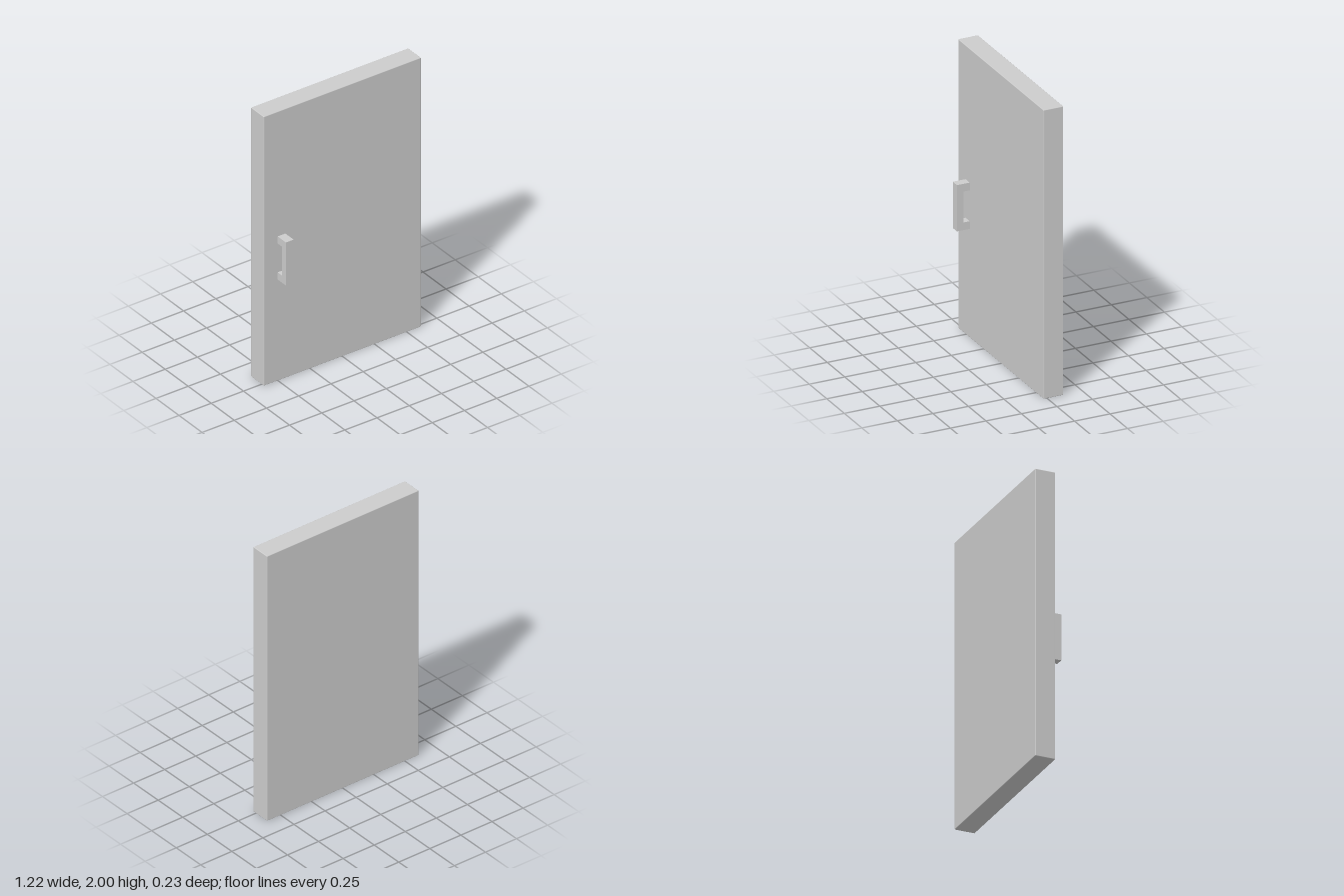
import * as THREE from 'three';
import { RoundedBoxGeometry } from 'three/addons/geometries/RoundedBoxGeometry.js';

export function createModel() {
  const model = new THREE.Group();
  model.name = 'door';
  const material = new THREE.MeshStandardMaterial({ color: 0xcccccc });

  // Door slab with slightly softened edges
  const width = 1.22, height = 2, depth = 0.14, back = -0.115;
  const front = back + depth;
  const panel = new THREE.Mesh(new RoundedBoxGeometry(width, height, depth, 2, 0.005), material);
  panel.name = 'doorPanel';
  panel.position.set(0, height / 2, back + depth / 2);
  model.add(panel);

  // Square-section pull handle: a C profile drawn in (z, y), extruded across x
  const bottom = 0.753, top = 1.073, reach = 0.115, bar = 0.045, leg = 0.053;
  const root = front - 0.005; // ends sit just inside the slab
  const profile = new THREE.Shape([
    [root, bottom], [reach, bottom], [reach, top], [root, top],
    [root, top - leg], [reach - bar, top - leg],
    [reach - bar, bottom + leg], [root, bottom + leg],
  ].map(([z, y]) => new THREE.Vector2(z, y)));
  const handleGeometry = new THREE.ExtrudeGeometry(profile, { depth: 0.06, bevelEnabled: false });
  handleGeometry.rotateY(-Math.PI / 2);
  const handle = new THREE.Mesh(handleGeometry, material);
  handle.name = 'pullHandle';
  handle.position.x = -0.443;
  model.add(handle);

  return model;
}
